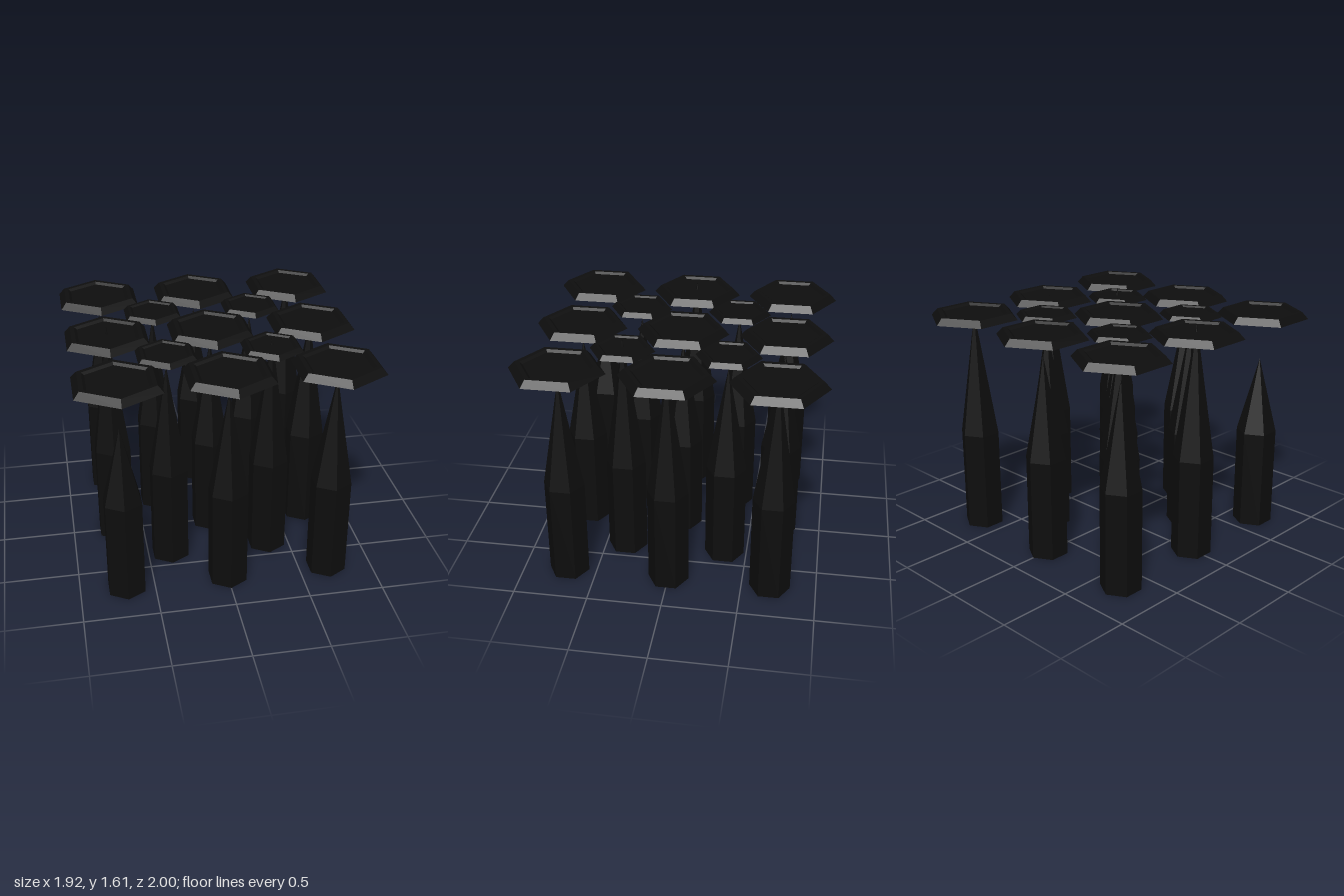
import * as THREE from 'three';

const black = new THREE.MeshStandardMaterial({ color: 0x0d0d0d, flatShading: true });
black.name = 'matte black';

const STEP = 0.345; // half of the grid spacing
const PLATE_Y = 1.543; // mid height of every plate

// Six-sided solid from a [radius, height] profile, corners pointing along z
function hexLathe(profile) {
  return new THREE.LatheGeometry(profile.map(([r, y]) => new THREE.Vector2(r, y)), 6);
}

// Bevelled plate, dished on both faces
const plateGeometry = hexLathe([
  [0, -0.008], [0.225, -0.008], [0.25, -0.0225], [0.31, -0.0225],
  [0.268, 0.0225], [0.235, 0.0225], [0.215, 0.008], [0, 0.008],
]);

// Hexagonal post with a tall pointed tip
function spireGeometry(tip) {
  return hexLathe([[0, 0], [0.137, 0], [0.137, 0.695], [0, tip]]);
}

// Grid column, grid row and tip height of each spire
const spires = [
  [-2, -2, 1.4], [0, -2, 1.4], [2, -2, 1.55],
  [-2, 0, 1.61], [0, 0, 1.44], [2, 0, 1.555],
  [-2, 2, 1.22], [0, 2, 1.41], [2, 2, 1.455],
  [-1, -1, 1.49], [1, -1, 1.45], [-1, 1, 1.45], [1, 1, 1.61],
];

export function createModel() {
  const model = new THREE.Group();
  model.name = 'hexagonSpires';

  for (const [column, row, tip] of spires) {
    const unit = new THREE.Group();
    unit.name = 'spireUnit';
    unit.position.set(column * STEP, 0, row * STEP);

    const spire = new THREE.Mesh(spireGeometry(tip), black);
    spire.name = 'spire';

    // Plates in the gaps of the grid are smaller
    const small = column % 2 !== 0;
    const plate = new THREE.Mesh(plateGeometry, black);
    plate.name = small ? 'smallPlate' : 'largePlate';
    plate.position.y = PLATE_Y;
    plate.scale.setScalar(small ? 0.695 : 1);

    unit.add(spire, plate);
    model.add(unit);
  }
  return model;
}
